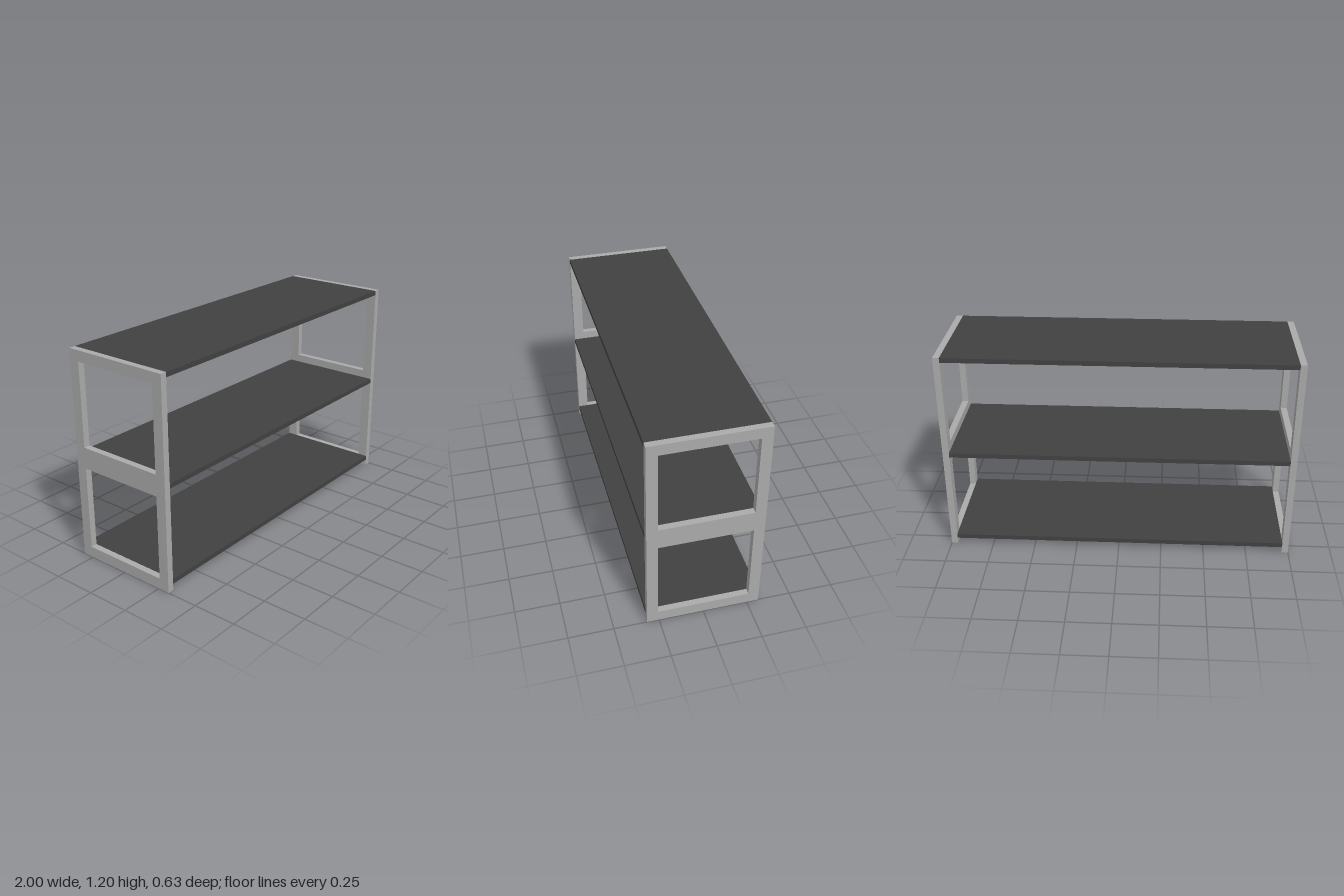
import * as THREE from 'three';

const HEIGHT = 1.204, HALF_DEPTH = 0.317, FRAME = 0.037, INNER = 1 - FRAME;

// rectangle outline, used for the frame and its openings
function rect(PathType, halfWidth, bottom, top) {
  const p = new PathType();
  p.moveTo(-halfWidth, bottom);
  p.lineTo(halfWidth, bottom);
  p.lineTo(halfWidth, top);
  p.lineTo(-halfWidth, top);
  p.closePath();
  return p;
}

export function createModel() {
  const group = new THREE.Group();
  const frameGrey = new THREE.MeshStandardMaterial({ name: 'frameGrey', color: 0xaaaaaa });
  const shelfCharcoal = new THREE.MeshStandardMaterial({ name: 'shelfCharcoal', color: 0x414141 });

  // end frames with two openings each
  const outline = rect(THREE.Shape, HALF_DEPTH, 0, HEIGHT);
  outline.holes.push(
    rect(THREE.Path, 0.257, 0.063, 0.541),
    rect(THREE.Path, 0.257, 0.664, 1.142)
  );
  const frameGeometry = new THREE.ExtrudeGeometry(outline, { depth: FRAME, bevelEnabled: false });
  frameGeometry.translate(0, 0, -FRAME / 2);
  frameGeometry.rotateY(Math.PI / 2);
  for (const [name, side] of [['leftFrame', 1], ['rightFrame', -1]]) {
    const frame = new THREE.Mesh(frameGeometry, frameGrey);
    frame.name = name;
    frame.position.x = side * (1 - FRAME / 2);
    group.add(frame);
  }

  // shelves spanning between the frames
  const thickness = 0.027;
  const shelfGeometry = new THREE.BoxGeometry(INNER * 2, thickness, HALF_DEPTH * 2);
  for (const [name, top] of [['bottomShelf', 0.064], ['middleShelf', 0.617], ['topShelf', HEIGHT]]) {
    const shelf = new THREE.Mesh(shelfGeometry, shelfCharcoal);
    shelf.name = name;
    shelf.position.y = top - thickness / 2;
    group.add(shelf);
  }
  return group;
}
